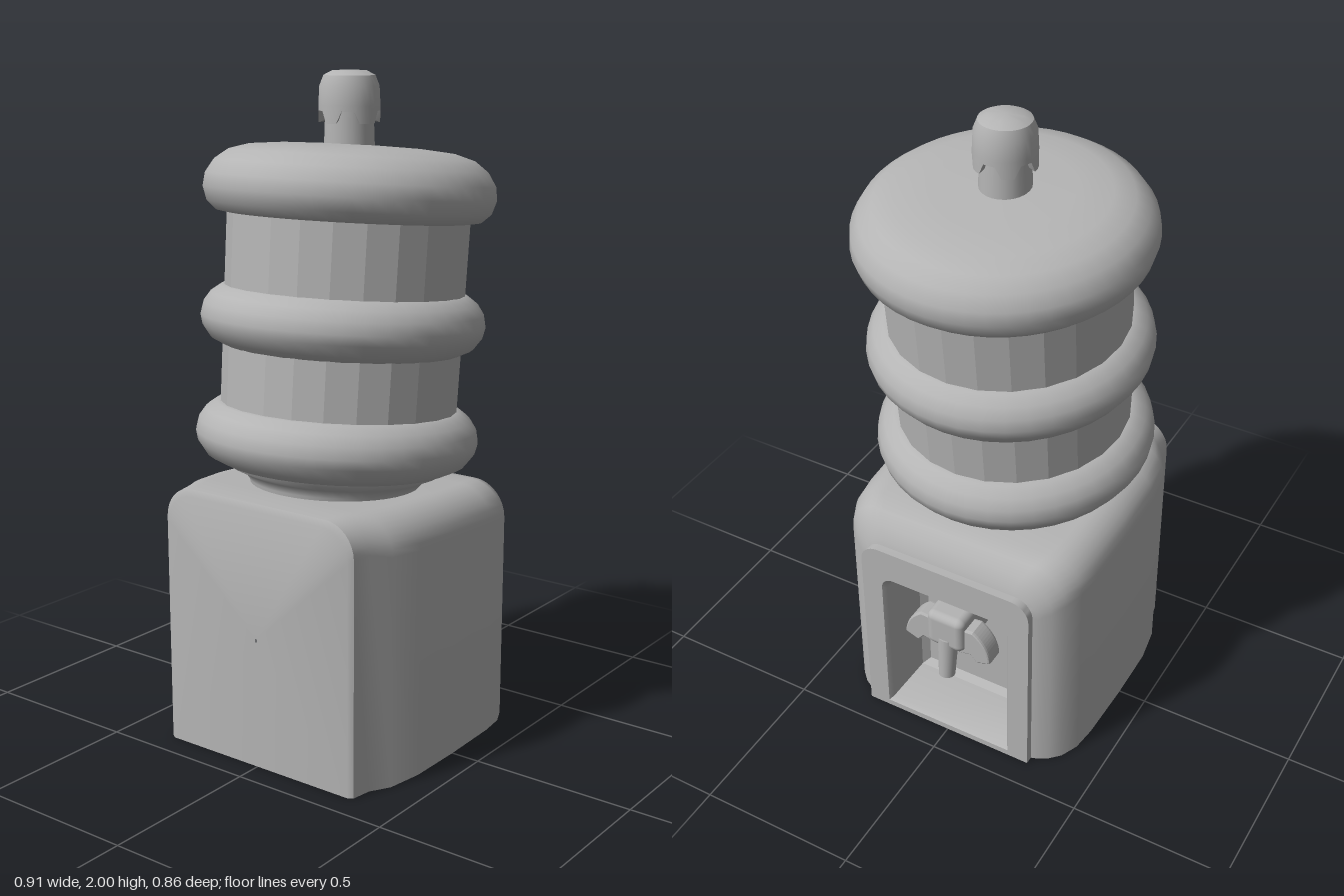
import * as THREE from 'three';
import { toCreasedNormals } from 'three/addons/utils/BufferGeometryUtils.js';
import { RoundedBoxGeometry } from 'three/addons/geometries/RoundedBoxGeometry.js';

// Outline with square feet and rounded top corners, in the z-y plane at x
function archRing([x, w, h, r, y0 = 0]) {
  const pts = [[x, y0, w], [x, y0, -w]];
  const steps = 8;
  for (const side of [-1, 1]) {
    for (let i = 0; i <= steps; i++) {
      const a = (i / steps) * Math.PI / 2 + (side > 0 ? Math.PI / 2 : 0);
      pts.push([x, h - r + Math.sin(a) * r, side * (w - r) - Math.cos(a) * r]);
    }
  }
  return pts;
}

// Skin through successive outlines
function loft(sections) {
  const rings = sections.map(archRing);
  const n = rings[0].length;
  const index = [];
  for (let i = 0; i < rings.length - 1; i++) {
    for (let j = 0; j < n; j++) {
      const a = i * n + j, b = i * n + (j + 1) % n;
      index.push(a, b, b + n, a, b + n, a + n);
    }
  }
  const geo = new THREE.BufferGeometry();
  geo.setAttribute('position', new THREE.Float32BufferAttribute(rings.flat(2), 3));
  geo.setIndex(index);
  return toCreasedNormals(geo, 0.6);
}

function lathe(points, segments) {
  return new THREE.LatheGeometry(points.map(([r, y]) => new THREE.Vector2(r, y)), segments);
}

export function createModel() {
  const model = new THREE.Group();
  model.name = 'waterCooler';
  const grey = new THREE.MeshStandardMaterial({ color: 0xb4b4b4 });
  grey.name = 'grey';

  function add(parent, name, geo, x = 0, y = 0, z = 0) {
    const mesh = new THREE.Mesh(geo, grey);
    mesh.name = name;
    mesh.position.set(x, y, z);
    parent.add(mesh);
    return mesh;
  }

  // Cabinet: back, shell, raised front frame, then the recess, as one skin
  // Each row: x, half width, top, corner radius, bottom
  add(model, 'cabinet', loft([
    [-0.42, 0.002, 0.4, 0.001, 0.39],
    [-0.42, 0.33, 0.785, 0.09],
    [-0.41, 0.345, 0.805, 0.1],
    [-0.35, 0.355, 0.808, 0.1],
    [-0.29, 0.39, 0.803, 0.11],
    [-0.18, 0.408, 0.797, 0.11],
    [0.0, 0.41, 0.787, 0.11],
    [0.2, 0.405, 0.776, 0.11],
    [0.28, 0.395, 0.77, 0.11],
    [0.335, 0.37, 0.757, 0.11],
    [0.365, 0.34, 0.725, 0.1],
    [0.385, 0.305, 0.685, 0.08],
    [0.39, 0.29, 0.667, 0.06],
    [0.415, 0.29, 0.667, 0.06],
    [0.415, 0.22, 0.56, 0.04, 0.02],
    [0.4, 0.21, 0.55, 0.04, 0.03],
    [0.24, 0.2, 0.54, 0.05, 0.04],
    [0.22, 0.18, 0.52, 0.05, 0.06],
    [0.22, 0.002, 0.3, 0.001, 0.29],
  ]));

  // Tap: valve block, drooping side wings and spout
  const tap = new THREE.Group();
  tap.name = 'tap';
  model.add(tap);
  add(tap, 'valveBlock', new RoundedBoxGeometry(0.2, 0.13, 0.13, 3, 0.025), 0.32, 0.43, 0);
  const wing = new THREE.Shape();
  wing.moveTo(0.04, 0.45);
  wing.lineTo(0.09, 0.455);
  wing.quadraticCurveTo(0.14, 0.42, 0.145, 0.36);
  wing.lineTo(0.105, 0.345);
  wing.lineTo(0.085, 0.37);
  wing.lineTo(0.04, 0.36);
  for (const side of [-1, 1]) {
    const geo = new THREE.ExtrudeGeometry(wing, {
      depth: 0.05, bevelEnabled: true, bevelSize: 0.005, bevelThickness: 0.008, bevelSegments: 2,
    });
    // Second wing is the first turned half way round
    geo.translate(0, 0, -0.025).rotateY(side * Math.PI / 2);
    add(tap, 'tapWing', geo, 0.37, 0, 0);
  }
  const spout = add(tap, 'spout', new THREE.CylinderGeometry(0.033, 0.026, 0.15, 16), 0.4, 0.325, 0);
  spout.rotation.z = 0.09;

  // Bottle, leaning slightly to one side
  const bottle = new THREE.Group();
  bottle.name = 'bottle';
  bottle.position.set(-0.03, 0.94, 0);
  bottle.rotation.z = -0.088;
  model.add(bottle);

  add(bottle, 'bottleNeck', lathe([
    [0.25, -0.22], [0.255, -0.15], [0.275, -0.125], [0.32, -0.105], [0.33, -0.05],
  ], 40), 0, 0, 0);
  add(bottle, 'bottleWall', toCreasedNormals(new THREE.CylinderGeometry(0.358, 0.352, 0.66, 24, 1, true), 0.1), 0, 0.36, 0);

  // Bulging hoops
  const hoop = lathe([
    [0.3, -0.095], [0.345, -0.092], [0.39, -0.07], [0.415, -0.035], [0.422, -0.005],
    [0.415, 0.03], [0.395, 0.06], [0.365, 0.082], [0.345, 0.085],
  ], 40);
  add(bottle, 'lowerHoop', hoop);
  add(bottle, 'middleHoop', hoop, 0, 0.345, 0);

  // Broad rounded lid
  add(bottle, 'bottleTop', lathe([
    [0.34, 0.655], [0.36, 0.64], [0.39, 0.645], [0.417, 0.67], [0.43, 0.71], [0.425, 0.75],
    [0.4, 0.79], [0.36, 0.82], [0.3, 0.838], [0.2, 0.847], [0, 0.852],
  ], 48));

  // Stem and cap with a notched skirt
  add(model, 'capStem', new THREE.CylinderGeometry(0.07, 0.075, 0.13, 24), 0.03, 1.835, 0);
  const cap = lathe([
    [0.068, 1.86], [0.09, 1.85], [0.09, 1.9], [0.087, 1.955], [0.075, 1.985], [0.05, 1.998], [0, 2],
  ], 32);
  const pos = cap.attributes.position;
  for (let i = 0; i < pos.count; i++) {
    if (pos.getY(i) > 1.87) continue;
    const a = Math.atan2(pos.getZ(i), pos.getX(i));
    if (Math.cos(a * 5) > 0.1) pos.setY(i, pos.getY(i) + 0.035);
  }
  add(model, 'cap', toCreasedNormals(cap, 0.7), 0.03, 0, 0);

  return model;
}
